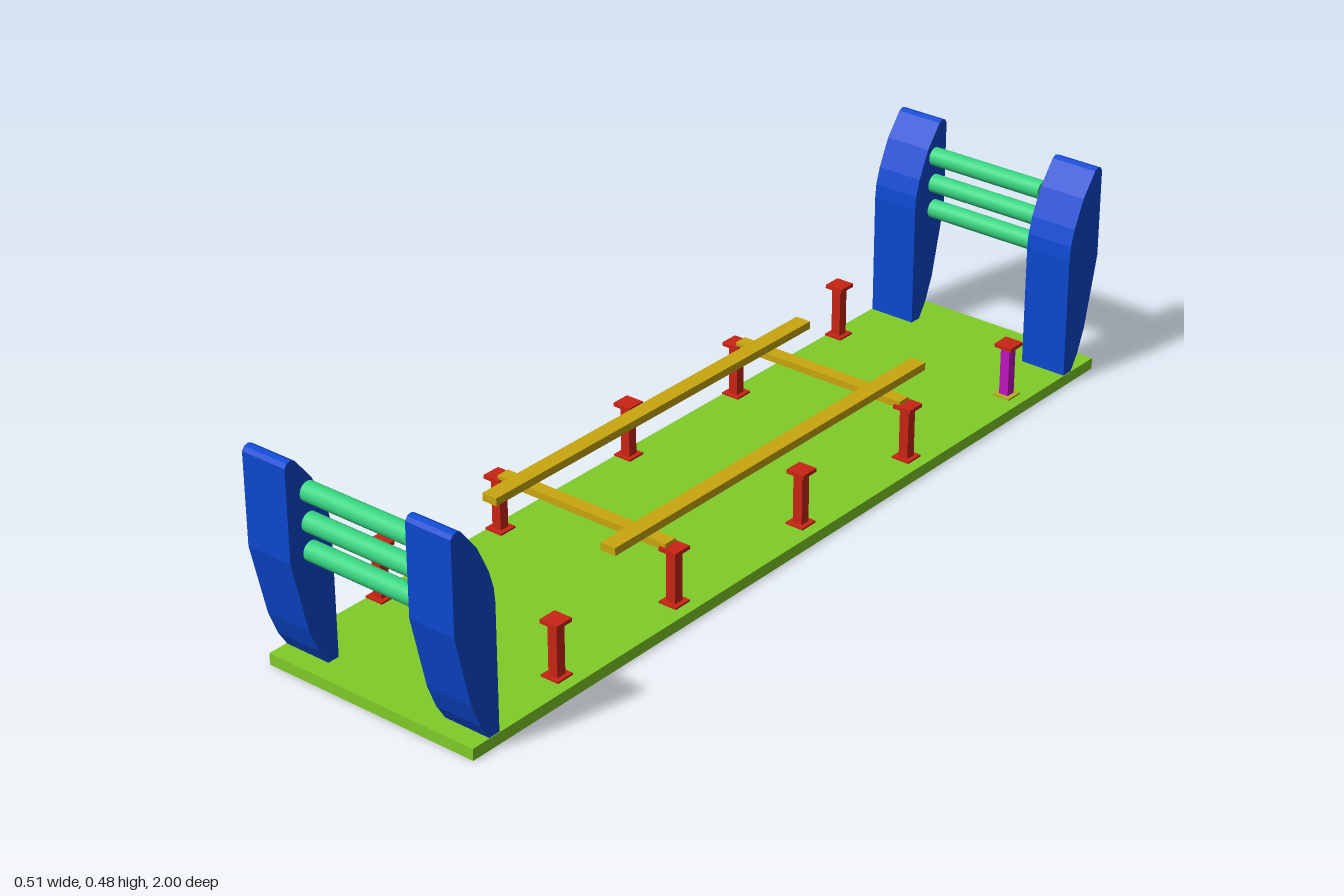
import * as THREE from 'three';

const mat = (color) => new THREE.MeshStandardMaterial({ color });
const green = mat(0x80cc28), blue = mat(0x0c48d0), mint = mat(0x38d582);
const red = mat(0xc82414), purple = mat(0xc012c0), ochre = mat(0xc8a60e), olive = mat(0xb0b020);

function add(parent, name, geometry, material, x = 0, y = 0, z = 0) {
  const mesh = new THREE.Mesh(geometry, material);
  mesh.name = name;
  mesh.position.set(x, y, z);
  parent.add(mesh);
  return mesh;
}

// Box given by its extent along each axis
function addBox(parent, name, material, [x0, x1], [y0, y1], [z0, z1]) {
  return add(parent, name, new THREE.BoxGeometry(x1 - x0, y1 - y0, z1 - z0), material,
    (x0 + x1) / 2, (y0 + y1) / 2, (z0 + z1) / 2);
}

// Side profile of an end post as (z, y), extruded across x
function postGeometry(width) {
  const profile = [
    [0.893, 0.025], [0.92, 0.025], [0.942, 0.06], [0.963, 0.112], [1, 0.27], [1, 0.466],
    [0.994, 0.474], [0.984, 0.477], [0.974, 0.472], [0.935, 0.422], [0.907, 0.362],
    [0.896, 0.325], [0.893, 0.295],
  ];
  const shape = new THREE.Shape(profile.map(([z, y]) => new THREE.Vector2(z, y)));
  const geometry = new THREE.ExtrudeGeometry(shape, { depth: width, bevelEnabled: false });
  return geometry.rotateY(-Math.PI / 2).translate(width / 2, 0, 0);
}

// Two posts joined by three round rails
function endFrame(name) {
  const frame = new THREE.Group();
  frame.name = name;
  const post = postGeometry(0.107);
  add(frame, 'leftPost', post, blue, 0.2);
  add(frame, 'rightPost', post, blue, -0.2);
  const rail = new THREE.CylinderGeometry(0.0205, 0.0205, 0.281, 32).rotateZ(Math.PI / 2);
  for (const y of [0.281, 0.341, 0.404]) add(frame, 'rail', rail, mint, 0, y, 0.952);
  return frame;
}

// Short stanchion with a foot plate and a cap plate
function stanchion(x, z, stemMaterial, footMaterial) {
  const group = new THREE.Group();
  group.name = 'stanchion';
  group.position.set(x, 0, z);
  const plate = [-0.021, 0.021], stem = [-0.011, 0.011];
  addBox(group, 'footPlate', footMaterial, plate, [0.025, 0.029], plate);
  addBox(group, 'stem', stemMaterial, stem, [0.029, 0.139], stem);
  addBox(group, 'capPlate', red, plate, [0.139, 0.147], plate);
  return group;
}

export function createModel() {
  const model = new THREE.Group();
  addBox(model, 'basePlate', green, [-0.255, 0.255], [0, 0.025], [-1, 0.965]);

  // End frames, the back one turned about
  const back = endFrame('backFrame');
  back.rotation.y = Math.PI;
  model.add(endFrame('frontFrame'), back);

  // Two rows of stanchions, with one odd-coloured at the back left
  for (const z of [0.687, 0.35, -0.04, -0.39, -0.745]) {
    for (const x of [-0.235, 0.209]) {
      const odd = x > 0 && z < -0.7;
      model.add(stanchion(x, z, odd ? purple : red, odd ? olive : red));
    }
  }

  // Cross beams on the stanchions, long beams on top
  for (const z of [0.35, -0.39]) {
    addBox(model, 'crossBeam', ochre, [-0.224, 0.2], [0.14, 0.155], [z - 0.015, z + 0.015]);
  }
  for (const x of [-0.161, 0.138]) {
    addBox(model, 'longBeam', ochre, [x - 0.018, x + 0.018], [0.155, 0.172], [-0.522, 0.458]);
  }
  return model;
}
